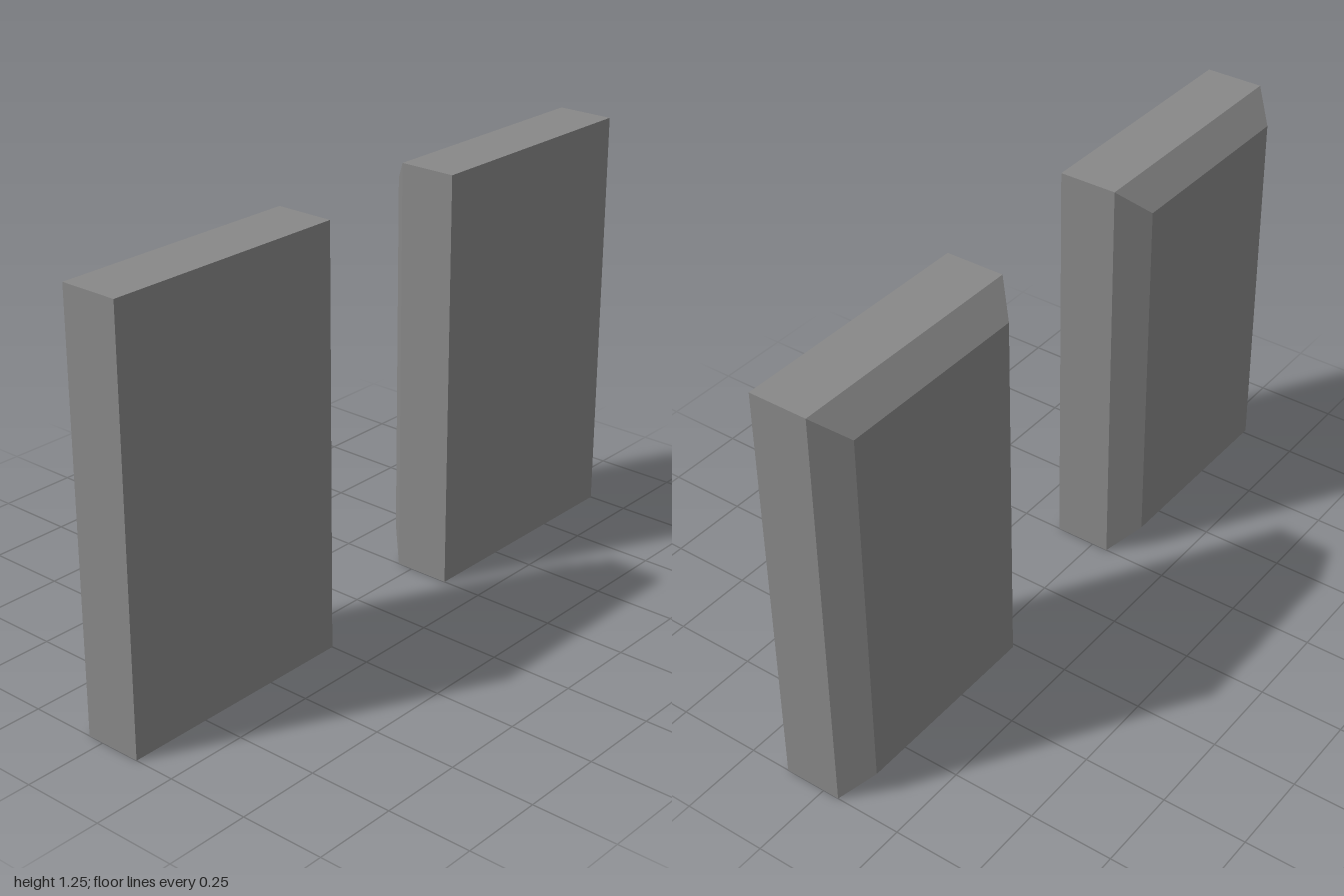
import * as THREE from 'three';

const WIDTH = 0.75, HEIGHT = 1.25, DEPTH = 0.25, BEVEL = 0.075;

// Upright slab whose rear face is bevelled on all four edges
function bevelledSlab() {
  const box = new THREE.BoxGeometry(WIDTH, HEIGHT, DEPTH, 1, 1, 2);
  const p = box.attributes.position;
  for (let i = 0; i < p.count; i++) {
    const z = p.getZ(i);
    if (Math.abs(z) < 0.01) {
      // middle ring: where the bevel begins
      p.setZ(i, -DEPTH / 2 + BEVEL);
    } else if (z < 0) {
      // rear ring: pulled inwards
      p.setX(i, p.getX(i) - Math.sign(p.getX(i)) * BEVEL);
      p.setY(i, p.getY(i) - Math.sign(p.getY(i)) * BEVEL);
    }
  }
  const flat = box.toNonIndexed();
  flat.computeVertexNormals();
  return flat;
}

export function createModel() {
  const model = new THREE.Group();
  model.name = 'panelPair';
  const material = new THREE.MeshStandardMaterial({ color: 0x888888, flatShading: true });
  const geometry = bevelledSlab();

  // Two matching panels, one on each side
  for (const [name, side] of [['leftPanel', 1], ['rightPanel', -1]]) {
    const panel = new THREE.Mesh(geometry, material);
    panel.name = name;
    panel.position.set(side * (1 - WIDTH / 2), HEIGHT / 2, 0);
    model.add(panel);
  }
  return model;
}
